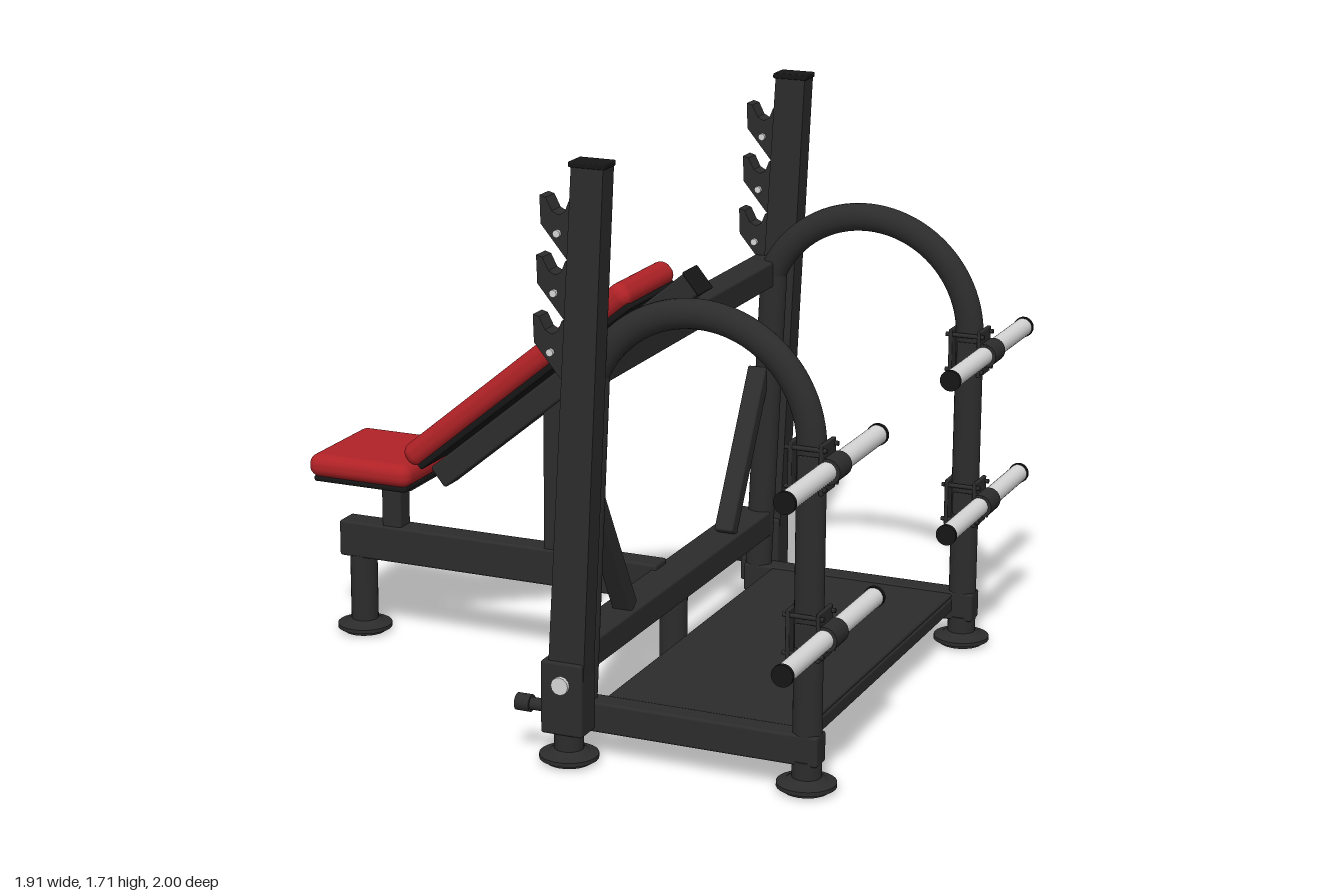
import * as THREE from 'three';
import { RoundedBoxGeometry } from 'three/addons/geometries/RoundedBoxGeometry.js';

const mat = (name, color) => Object.assign(new THREE.MeshStandardMaterial({ color }), { name });

export function createModel() {
  const steel = mat('charcoal steel', 0x2c2c2c);
  const black = mat('black rubber', 0x161616);
  const red = mat('red upholstery', 0xb02226);
  const chrome = mat('bright metal', 0xd6d6d6);

  const root = new THREE.Group();
  root.name = 'inclineBench';

  const add = (name, geo, material, x, y, z, parent = root) => {
    const m = new THREE.Mesh(geo, material);
    m.name = name;
    m.position.set(x, y, z);
    parent.add(m);
    return m;
  };
  // Box given by its extents on each axis
  const span = (name, [x0, x1], [y0, y1], [z0, z1], material = steel, r = 0.008) =>
    add(name, new RoundedBoxGeometry(x1 - x0, y1 - y0, z1 - z0, 2, Math.min(r, (y1 - y0) / 2.1, (x1 - x0) / 2.1)),
      material, (x0 + x1) / 2, (y0 + y1) / 2, (z0 + z1) / 2);
  // Cylinder along a chosen axis
  const rod = (name, r, len, axis, material, x, y, z, sides = 24) => {
    const g = new THREE.CylinderGeometry(r, r, len, sides);
    if (axis === 'x') g.rotateZ(Math.PI / 2);
    if (axis === 'z') g.rotateX(Math.PI / 2);
    return add(name, g, material, x, y, z);
  };
  // Stepped foot with a short stem
  const foot = (x, z, top) => {
    const profile = [[0, 0], [0.066, 0], [0.07, 0.012], [0.084, 0.012], [0.084, 0.024],
      [0.06, 0.03], [0.045, 0.04], [0, 0.04]].map(p => new THREE.Vector2(...p));
    const g = new THREE.LatheGeometry(profile, 28).toNonIndexed();
    g.computeVertexNormals();
    add('foot', g, steel, x, 0, z);
    rod('footStem', 0.042, top - 0.03, 'y', steel, x, (top + 0.03) / 2, z);
  };

  // Spine and front leg
  span('mainBeam', [-0.925, 0.14], [0.245, 0.358], [-0.041, 0.041]);
  foot(-0.863, 0, 0.25);
  foot(0.18, 0, 0.27);

  // Cross members between the uprights
  span('lowerCrossbar', [0.12, 0.232], [0.26, 0.342], [-0.66, 0.66]);
  span('upperCrossbar', [0.145, 0.237], [1.064, 1.144], [-0.7, 0.7]);

  // Seat
  span('seatPost', [-0.78, -0.715], [0.35, 0.51], [-0.033, 0.033]);
  span('seatBracket', [-0.87, -0.64], [0.502, 0.516], [-0.1, 0.1]);
  span('seatBacking', [-0.94, -0.625], [0.516, 0.535], [-0.165, 0.165], black);
  add('seatPad', new RoundedBoxGeometry(0.345, 0.072, 0.36, 5, 0.033), red, -0.783, 0.566, 0);

  // Inclined backrest
  const tilt = THREE.MathUtils.degToRad(39.6);
  const back = new THREE.Group();
  back.name = 'backrest';
  back.position.set(-0.262, 0.918, 0);
  back.rotation.z = tilt;
  root.add(back);
  add('backPad', new RoundedBoxGeometry(0.935, 0.074, 0.355, 5, 0.033), red, 0, 0, 0, back);
  add('backBacking', new RoundedBoxGeometry(0.89, 0.02, 0.33, 2, 0.006), black, 0, -0.04, 0, back);
  add('backTube', new RoundedBoxGeometry(1.08, 0.075, 0.085, 2, 0.008), steel, 0.05, -0.09, 0, back);
  add('backTubeCap', new RoundedBoxGeometry(0.012, 0.082, 0.096, 2, 0.005), black, 0.59, -0.09, 0, back);
  span('backSupport', [-0.232, -0.167], [0.35, 0.835], [-0.033, 0.033]);

  // Deck and its end bars
  span('deck', [0.245, 0.838], [0.148, 0.164], [-0.62, 0.62]);
  span('deckFrontBar', [0.245, 0.29], [0.103, 0.148], [-0.63, 0.63]);
  span('deckRearBar', [0.793, 0.838], [0.103, 0.148], [-0.63, 0.63]);

  // Bar catch outline, in side profile
  const hook = new THREE.Shape([[-0.088, 0.1], [-0.07, 0.095], [-0.052, 0.06], [-0.032, 0.05], [-0.014, 0.06],
    [-0.002, 0.09], [0.03, 0.09], [0.025, -0.075], [-0.008, -0.07], [-0.085, 0.022]]
    .map(p => new THREE.Vector2(...p)));

  for (const s of [1, -1]) {
    const zu = 0.728 * s, za = 0.652 * s;

    // Leaning upright: a box tapered and sheared with height
    const g = new THREE.BoxGeometry(1, 1.61, 0.07);
    const p = g.attributes.position;
    for (let i = 0; i < p.count; i++) {
      const t = p.getY(i) / 1.61 + 0.5;
      p.setX(i, p.getX(i) * (0.11 - 0.016 * t) + 0.178 + 0.077 * t);
    }
    g.computeVertexNormals();
    add('upright', g, steel, 0, 0.895, zu);
    span('uprightCap', [0.2, 0.307], [1.696, 1.712], [zu - 0.038, zu + 0.038], black, 0.004);
    span('uprightShoe', [0.113, 0.24], [0.088, 0.302], [zu - 0.046, zu + 0.046]);
    foot(0.18, zu, 0.1);
    rod('shoeBolt', 0.026, 0.014, 'z', chrome, 0.177, 0.238, zu + s * 0.051, 12);
    rod('bandPeg', 0.018, 0.09, 'x', steel, 0.075, 0.152, zu);
    rod('bandPegHead', 0.025, 0.044, 'x', steel, 0.043, 0.152, zu);

    // Bar catches
    for (let i = 0; i < 3; i++) {
      const cx = 0.2 - 0.011 * i, cy = 1.512 - 0.165 * i;
      const hg = new THREE.ExtrudeGeometry(hook, { depth: 0.056, bevelEnabled: false });
      add('barCatch', hg.translate(0, 0, -0.028), steel, cx, cy, zu);
      rod('catchBolt', 0.011, 0.076, 'z', chrome, cx - 0.035, cy, zu, 8);
    }

    // Arched side tube
    const path = new THREE.CurvePath();
    const pts = [];
    for (let i = 0; i <= 24; i++) {
      const a = THREE.MathUtils.degToRad(155 * i / 24);
      pts.push(new THREE.Vector3(0.528 + 0.332 * Math.cos(a), 0.972 + 0.332 * Math.sin(a), 0));
    }
    path.add(new THREE.LineCurve3(new THREE.Vector3(0.86, 0.1, 0), pts[0]));
    path.add(new THREE.CatmullRomCurve3(pts));
    path.add(new THREE.LineCurve3(pts[24], new THREE.Vector3(0.185, 0.1, 0)));
    add('archTube', new THREE.TubeGeometry(path, 120, 0.042, 18).scale(1, 1, 0.84), steel, 0, 0, za);

    // Base rail and rear foot
    span('baseRail', [0.15, 0.902], [0.078, 0.167], [za - 0.035, za + 0.035]);
    foot(0.86, za, 0.09);

    // Diagonal brace from the arch to the lower crossbar
    const a = new THREE.Vector3(0.19, 0.8, 0.635 * s), b = new THREE.Vector3(0.19, 0.345, 0.372 * s);
    const brace = add('diagonalBrace', new RoundedBoxGeometry(0.06, a.distanceTo(b), 0.048, 2, 0.006), steel,
      0.19, (a.y + b.y) / 2, (a.z + b.z) / 2);
    brace.rotation.x = Math.atan2(a.z - b.z, a.y - b.y);

    // Plate storage pins with clamps
    for (const y of [0.925, 0.455]) {
      rod('storagePin', 0.028, 0.69, 'z', chrome, 0.92, y, 0.65 * s);
      for (const e of [-1, 1]) {
        rod('pinEndCap', 0.031, 0.012, 'z', black, 0.92, y, 0.65 * s + e * 0.344);
        span('clampFlange', [0.835, 0.93], [y - 0.035, y + 0.035],
          [za + e * 0.041 - 0.005, za + e * 0.041 + 0.005], steel, 0.003);
      }
      rod('pinSleeve', 0.036, 0.09, 'z', steel, 0.922, y, za);
      span('clampOuterPlate', [0.898, 0.91], [y - 0.068, y + 0.072], [za - 0.05, za + 0.05], steel, 0.003);
      span('clampInnerPlate', [0.81, 0.822], [y - 0.068, y + 0.072], [za - 0.05, za + 0.05], steel, 0.003);
      for (const e of [-0.052, 0.056])
        for (const f of [-0.042, 0.042])
          rod('clampBolt', 0.007, 0.12, 'x', steel, 0.86, y + e, za + f, 8);
    }
  }
  return root;
}
